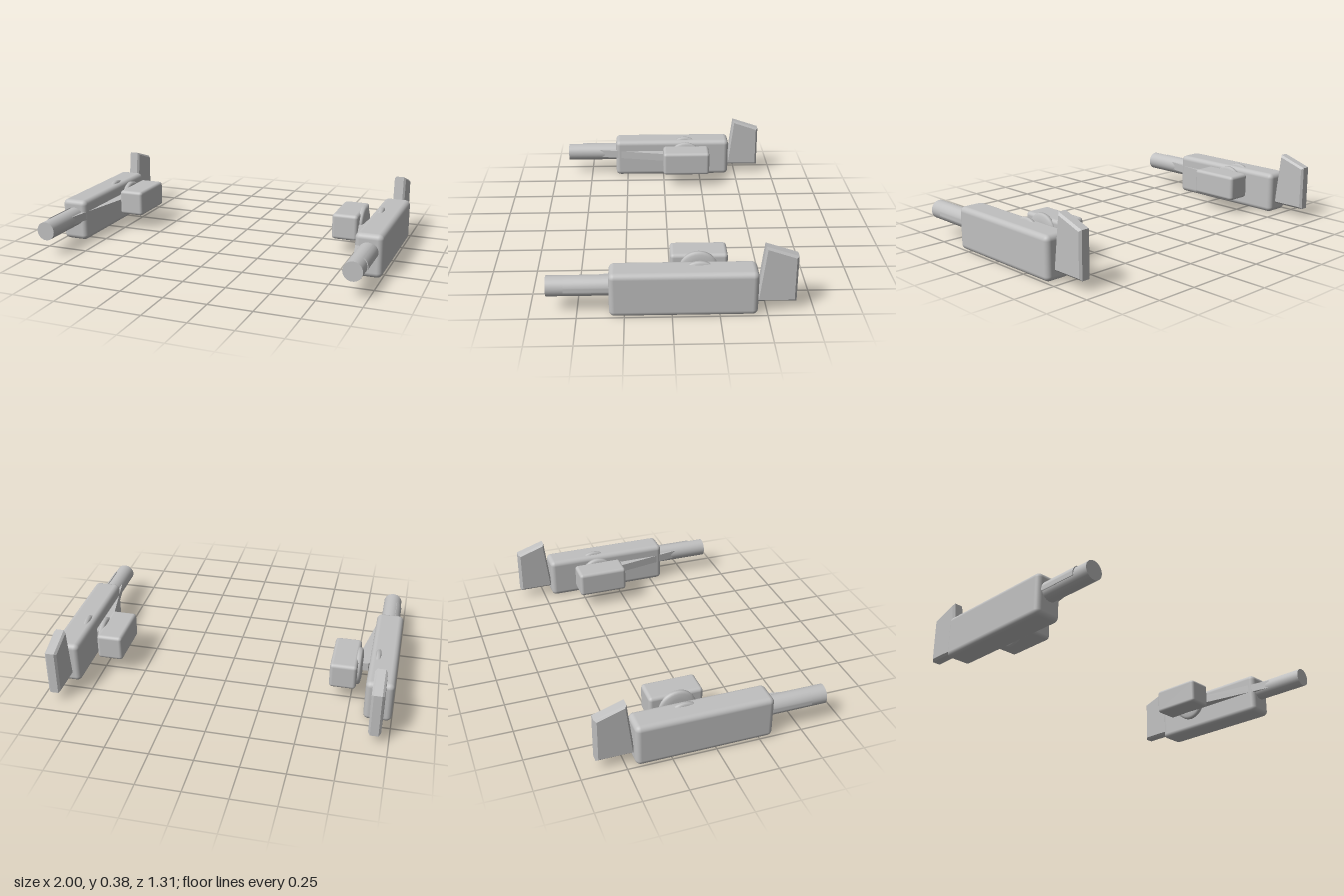
import * as THREE from 'three';
import { RoundedBoxGeometry } from 'three/addons/geometries/RoundedBoxGeometry.js';
import { toCreasedNormals } from 'three/addons/utils/BufferGeometryUtils.js';

const grey = new THREE.MeshStandardMaterial({ color: 0xc0c0c0 });
grey.name = 'grey metal';

const AXIS_Y = 0.15; // height of the barrel and of the pivot discs

function add(group, name, geometry, x, y, z) {
  const mesh = new THREE.Mesh(geometry, grey);
  mesh.name = name;
  mesh.position.set(x, y, z);
  group.add(mesh);
}

const shapeOf = (points) => new THREE.Shape(points.map(([x, y]) => new THREE.Vector2(x, y)));

// Disc with rounded rim, axis along x
function discGeometry(radius, thickness) {
  const h = thickness / 2;
  const profile = [[0, -h], [0.6, -h * 0.95], [0.88, -h * 0.75], [1, -h * 0.4],
    [1, h * 0.4], [0.88, h * 0.75], [0.6, h * 0.95], [0, h]]
    .map(([r, y]) => new THREE.Vector2(r * radius, y));
  return new THREE.LatheGeometry(profile, 32).rotateZ(Math.PI / 2);
}

// Rear fin, drawn in the (-z, y) plane and bevelled along its edges
function finGeometry() {
  const b = 0.012;
  const shape = shapeOf([[0.455, 0.067], [0.643, 0.067], [0.643, 0.312], [0.491, 0.364]]);
  const g = new THREE.ExtrudeGeometry(shape, {
    depth: 0.07 - 2 * b, bevelThickness: b, bevelSize: b, bevelSegments: 1,
  });
  return g.translate(0, 0, -0.035 + b).rotateY(Math.PI / 2);
}

// Tapered arm between the barrel and the inner disc, drawn in plan
function armGeometry(s) {
  const plan = [[0.832, -0.15], [0.795, -0.15], [0.774, -0.05], [0.868, 0.44], [0.9, 0.44], [0.87, -0.05]];
  const shape = shapeOf(plan.map(([x, z]) => [s * x, -z]));
  return new THREE.ExtrudeGeometry(shape, { depth: 0.05, bevelEnabled: false }).rotateX(-Math.PI / 2);
}

// Thin sleeve over the outer upper part of the barrel
function sleeveGeometry(s) {
  const points = [[0, 0]];
  for (let i = 0; i <= 10; i++) {
    const a = -0.23 + i * 0.128;
    points.push([s * 0.06 * Math.cos(a), 0.06 * Math.sin(a)]);
  }
  const g = new THREE.ExtrudeGeometry(shapeOf(points), { depth: 0.28, bevelEnabled: false });
  return toCreasedNormals(g, 0.6);
}

function createUnit(s, name) {
  const unit = new THREE.Group();
  unit.name = name;
  add(unit, 'body', new RoundedBoxGeometry(0.16, 0.25, 0.78, 3, 0.03), s * 0.92, 0.125, -0.06);
  add(unit, 'barrel', new THREE.CylinderGeometry(0.055, 0.055, 0.4, 32).rotateX(Math.PI / 2), s * 0.917, AXIS_Y, 0.458);
  add(unit, 'barrelSleeve', sleeveGeometry(s), s * 0.917, AXIS_Y, 0.285);
  add(unit, 'rearFin', finGeometry(), s * 0.92, 0, 0);
  // Pivot discs: one sunk in the body, one against the side box
  add(unit, 'bodyDisc', discGeometry(0.108, 0.04), s * 0.885, 0.157, -0.147);
  add(unit, 'innerDisc', discGeometry(0.108, 0.044), s * 0.778, 0.157, -0.147);
  add(unit, 'arm', armGeometry(s), 0, 0.13, 0);
  add(unit, 'sideBox', new RoundedBoxGeometry(0.155, 0.155, 0.31, 3, 0.02), s * 0.7, 0.167, -0.15);
  return unit;
}

export function createModel() {
  const model = new THREE.Group();
  model.name = 'pairedGuns';
  model.add(createUnit(1, 'leftUnit'), createUnit(-1, 'rightUnit'));
  return model;
}
